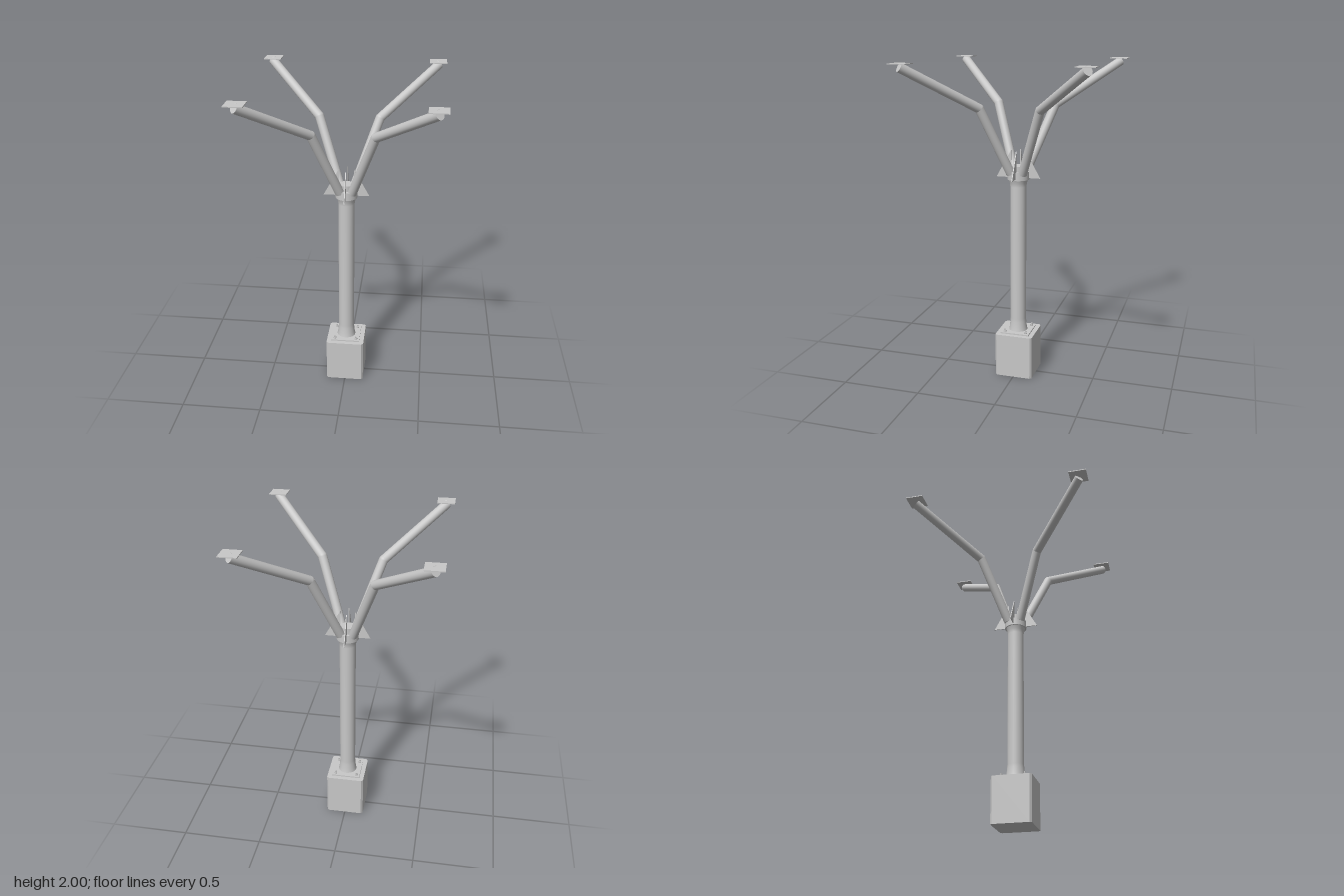
import * as THREE from 'three';

export function createModel() {
  const model = new THREE.Group();
  const metal = new THREE.MeshStandardMaterial({ color: 0xc8c8c8 });
  metal.name = 'light grey';
  const sheet = new THREE.MeshStandardMaterial({ color: 0xc8c8c8, side: THREE.DoubleSide });
  sheet.name = 'light grey sheet';

  const add = (name, geometry, x = 0, y = 0, z = 0, parent = model, material = metal) => {
    const mesh = new THREE.Mesh(geometry, material);
    mesh.name = name;
    mesh.position.set(x, y, z);
    parent.add(mesh);
    return mesh;
  };

  // Footing block with chamfered vertical edges
  const h = 0.121, c = 0.012;
  const outline = new THREE.Shape([
    [-h + c, -h], [h - c, -h], [h, -h + c], [h, h - c],
    [h - c, h], [-h + c, h], [-h, h - c], [-h, -h + c],
  ].map(([x, y]) => new THREE.Vector2(x, y)));
  const block = new THREE.ExtrudeGeometry(outline, { depth: 0.28, bevelEnabled: false });
  block.rotateX(-Math.PI / 2);
  add('footingBlock', block);

  // Anchor plate and bolts
  add('anchorPlate', new THREE.BoxGeometry(0.184, 0.008, 0.184), 0, 0.284, 0);
  for (const x of [-0.07, 0.07]) for (const z of [-0.07, 0.07]) {
    add('anchorNut', new THREE.CylinderGeometry(0.01, 0.01, 0.008, 6), x, 0.292, z);
    add('anchorBolt', new THREE.CylinderGeometry(0.005, 0.005, 0.02, 8), x, 0.297, z);
  }

  // Column with flared foot and neck
  const profile = [[0.06, 0.286], [0.055, 0.31], [0.051, 0.35], [0.05, 0.37],
    [0.05, 1.235], [0.054, 1.26], [0.062, 1.282]];
  add('column', new THREE.LatheGeometry(profile.map(([r, y]) => new THREE.Vector2(r, y)), 24));

  // Collar and cap under the branches
  add('collar', new THREE.CylinderGeometry(0.068, 0.068, 0.05, 24), 0, 1.305, 0);
  add('collarCap', new THREE.CylinderGeometry(0.045, 0.045, 0.036, 24), 0, 1.347, 0);

  // Four triangular fins on the axes
  const fin = new THREE.Shape();
  fin.moveTo(0.045, 1.29);
  fin.lineTo(0.14, 1.29);
  fin.lineTo(0.045, 1.46);
  fin.closePath();
  const finGeometry = new THREE.ExtrudeGeometry(fin, { depth: 0.005, bevelEnabled: false });
  finGeometry.translate(0, 0, -0.0025);
  for (let i = 0; i < 4; i++) add('fin', finGeometry).rotation.y = i * Math.PI / 2;

  // Straight tube between two points
  const tube = (name, a, b, r, parent) => {
    const dir = b.clone().sub(a);
    const mid = a.clone().add(b).multiplyScalar(0.5);
    const mesh = add(name, new THREE.CylinderGeometry(r, r, dir.length(), 20),
      mid.x, mid.y, mid.z, parent);
    mesh.quaternion.setFromUnitVectors(new THREE.Vector3(0, 1, 0), dir.normalize());
  };

  // Four bent branches, each carrying a thin square plate
  const r = 0.028;
  for (const sx of [-1, 1]) for (const sz of [-1, 1]) {
    const branch = new THREE.Group();
    branch.name = 'branch';
    model.add(branch);
    const point = (d, y) => new THREE.Vector3(sx * d, y, sz * d);
    const knee = point(0.184, 1.725);
    tube('lowerBranch', point(0.038, 1.32), knee, r, branch);
    tube('upperBranch', knee, point(0.525, 1.975), r, branch);
    add('knee', new THREE.SphereGeometry(r, 20, 14), knee.x, knee.y, knee.z, branch);
    add('topPlate', new THREE.BoxGeometry(0.107, 0.005, 0.107), sx * 0.52, 1.9945, sz * 0.52, branch, sheet);
  }

  return model;
}
